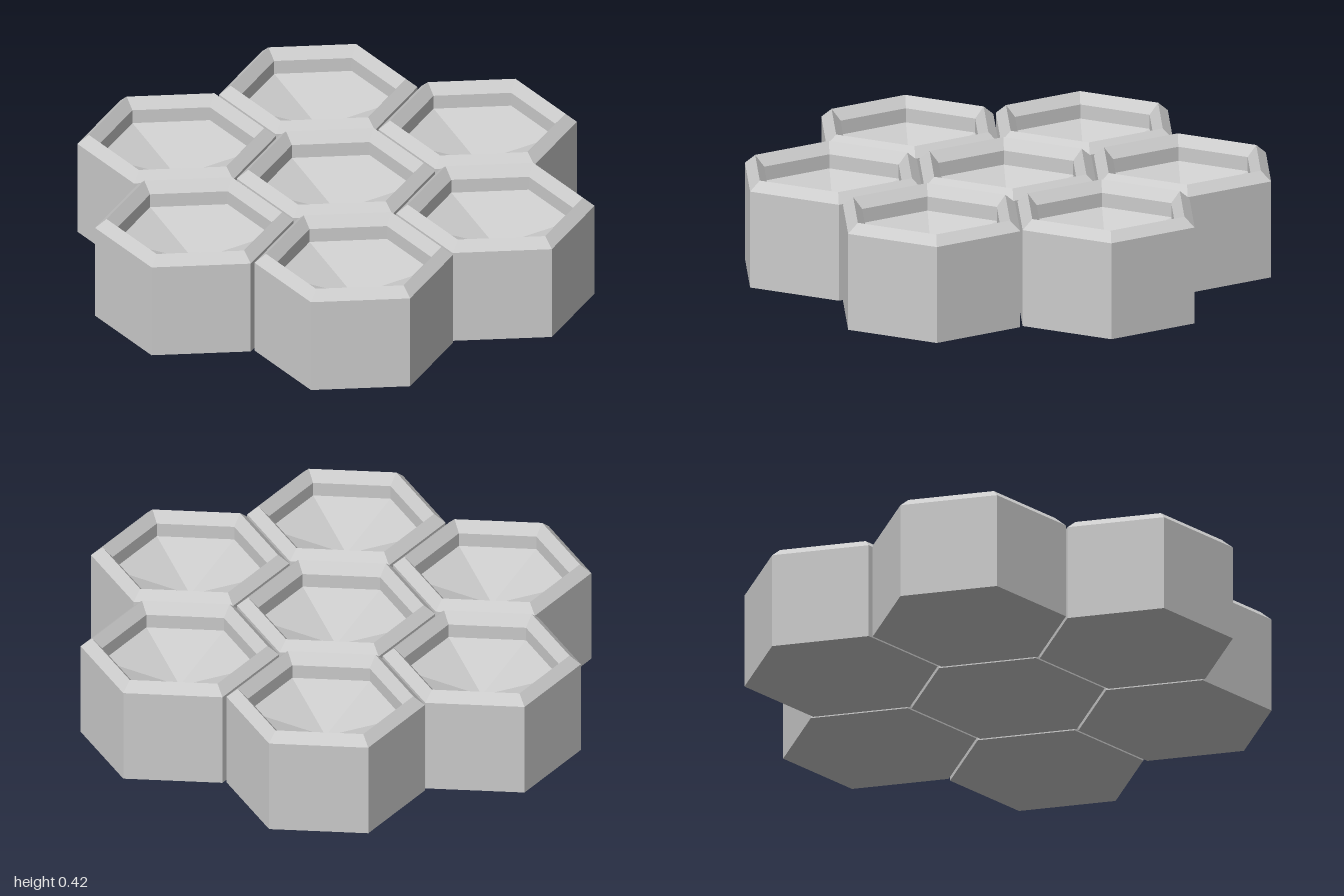
import * as THREE from 'three';

const RADIUS = 0.38;        // corner radius of one cell
const SPACING_X = 0.667;    // distance between cells in a row
const SPACING_Z = 0.579;    // distance between rows
const TWIST = -0.02;        // each cell is turned slightly in place

// Cross-section of one cell, from the centre of the base to the bottom of the bowl
const profile = [
  [0, 0], [RADIUS, 0],
  [RADIUS, 0.383],          // outer wall
  [0.336, 0.42],            // outer bevel up to the ridge
  [0.297, 0.378],           // inner bevel
  [0.297, 0.322],           // inner wall
  [0, 0.225],               // conical bowl floor
].map(([r, y]) => new THREE.Vector2(r, y));

export function createModel() {
  const model = new THREE.Group();
  model.name = 'hexagonalTray';

  const material = new THREE.MeshStandardMaterial({ color: 0xcccccc, flatShading: true });
  const geometry = new THREE.LatheGeometry(profile, 6).toNonIndexed();
  geometry.computeVertexNormals();

  // Rows of two, three and two cells
  [2, 3, 2].forEach((count, row) => {
    for (let i = 0; i < count; i++) {
      const cell = new THREE.Mesh(geometry, material);
      cell.name = `hexCell_${row + 1}_${i + 1}`;
      cell.position.set((i - (count - 1) / 2) * SPACING_X, 0, (row - 1) * SPACING_Z);
      cell.rotation.y = TWIST;
      model.add(cell);
    }
  });
  return model;
}
